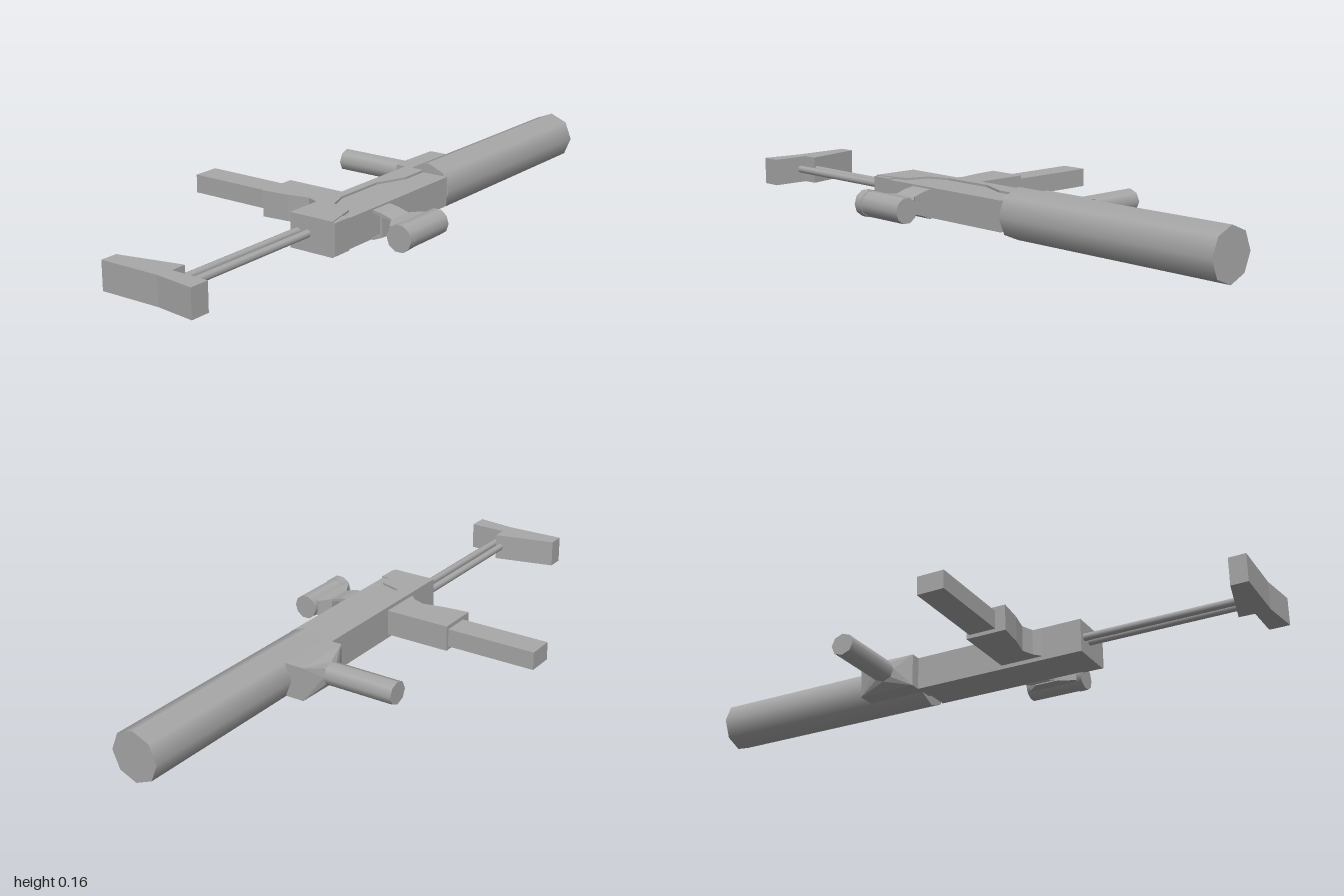
import * as THREE from 'three';
import { ConvexGeometry } from 'three/addons/geometries/ConvexGeometry.js';

export function createModel() {
  const model = new THREE.Group();
  const grey = new THREE.MeshStandardMaterial({ color: 0xa8a8a8 });
  grey.name = 'metalGrey';

  function add(name, geometry, x = 0, y = 0, z = 0) {
    const mesh = new THREE.Mesh(geometry, grey);
    mesh.name = name;
    mesh.position.set(x, y, z);
    model.add(mesh);
    return mesh;
  }

  // Box given by its limits
  function box(name, x0, x1, y0, y1, z0, z1) {
    return add(name, new THREE.BoxGeometry(x1 - x0, y1 - y0, z1 - z0),
      (x0 + x1) / 2, (y0 + y1) / 2, (z0 + z1) / 2);
  }

  // Outline in x and z, extruded upwards from y0 to y1
  function slab(name, outline, y0, y1) {
    const shape = new THREE.Shape(outline.map(([x, z]) => new THREE.Vector2(x, -z)));
    const geometry = new THREE.ExtrudeGeometry(shape, { depth: y1 - y0, bevelEnabled: false });
    return add(name, geometry.rotateX(-Math.PI / 2), 0, y0, 0);
  }

  // Cylinder along x
  function rodX(name, x0, x1, y, z, radius, sides) {
    const geometry = new THREE.CylinderGeometry(radius, radius, x1 - x0, sides).rotateZ(Math.PI / 2);
    return add(name, geometry, (x0 + x1) / 2, y, z);
  }

  // Long octagonal front tube
  rodX('frontTube', 0.2, 1, 0.082, 0.183, 0.081, 8);

  // Main body, with a slightly thicker stepped lower housing
  box('body', -0.39, 0.2, 0.034, 0.13, 0.095, 0.255);
  slab('lowerHousing', [
    [-0.39, 0.095], [0.2, 0.095], [0.2, 0.165], [0.1, 0.165], [0.0, 0.125],
    [-0.18, 0.125], [-0.25, 0.15], [-0.27, 0.22], [-0.39, 0.25],
  ], 0.027, 0.137);
  box('rearBlock', -0.39, -0.32, 0.032, 0.134, 0.18, 0.258);

  // Handle with a curved back, and the narrower bar running through it
  slab('handle', [
    [-0.26, 0.1], [-0.235, 0.07], [-0.22, 0.03], [-0.235, -0.04], [-0.245, -0.13],
    [-0.11, -0.13], [-0.11, 0.1],
  ], 0.04, 0.125);
  box('handleBar', -0.21, -0.12, 0.052, 0.112, -0.438, -0.1);

  // Front grip: block, tapered neck and round bar
  box('gripBlock', 0.2, 0.4, 0.027, 0.137, 0.06, 0.13);
  const neck = [];
  for (const x of [0.2, 0.4]) for (const y of [0.027, 0.137]) neck.push(new THREE.Vector3(x, y, 0.06));
  for (let i = 0; i < 8; i++) {
    const a = i * Math.PI / 4;
    neck.push(new THREE.Vector3(0.295 + 0.04 * Math.sin(a), 0.086 + 0.037 * Math.cos(a), 0.03));
  }
  add('gripNeck', new ConvexGeometry(neck));
  const grip = new THREE.CylinderGeometry(0.037, 0.037, 0.25, 8).rotateX(Math.PI / 2);
  add('frontGrip', grip, 0.295, 0.086, -0.085).scale.x = 1.08;

  // Rear rods
  for (const z of [0.121, 0.158]) rodX('rearRod', -0.945, -0.385, 0.083, z, 0.0125, 8);

  // Rear rest
  slab('rearRest', [
    [-0.99, -0.07], [-0.935, -0.07], [-0.885, 0.135], [-0.935, 0.137],
    [-0.935, 0.262], [-1, 0.262], [-0.985, 0.13],
  ], 0.037, 0.127);

  // Side bracket: open frame in z and y, extruded along x
  const frame = new THREE.Shape([
    [0.25, 0.125], [0.285, 0.12], [0.325, 0.108], [0.325, 0.1], [0.291, 0.109],
    [0.291, 0.045], [0.255, 0.03], [0.25, 0.037], [0.282, 0.05], [0.282, 0.11], [0.25, 0.116],
  ].map(([z, y]) => new THREE.Vector2(-z, y)));
  const bracket = new THREE.ExtrudeGeometry(frame, { depth: 0.085, bevelEnabled: false });
  add('bracket', bracket.rotateY(Math.PI / 2), -0.2, 0, 0);

  // Flared seat and the side tube
  slab('tubeSeat', [
    [-0.2, 0.322], [-0.115, 0.322], [-0.08, 0.352], [-0.08, 0.375], [-0.25, 0.375], [-0.25, 0.35],
  ], 0.056, 0.108);
  rodX('sideTube', -0.235, -0.065, 0.081, 0.394, 0.041, 10);
  rodX('sideTubeCap', -0.265, -0.235, 0.081, 0.394, 0.043, 10);

  return model;
}
